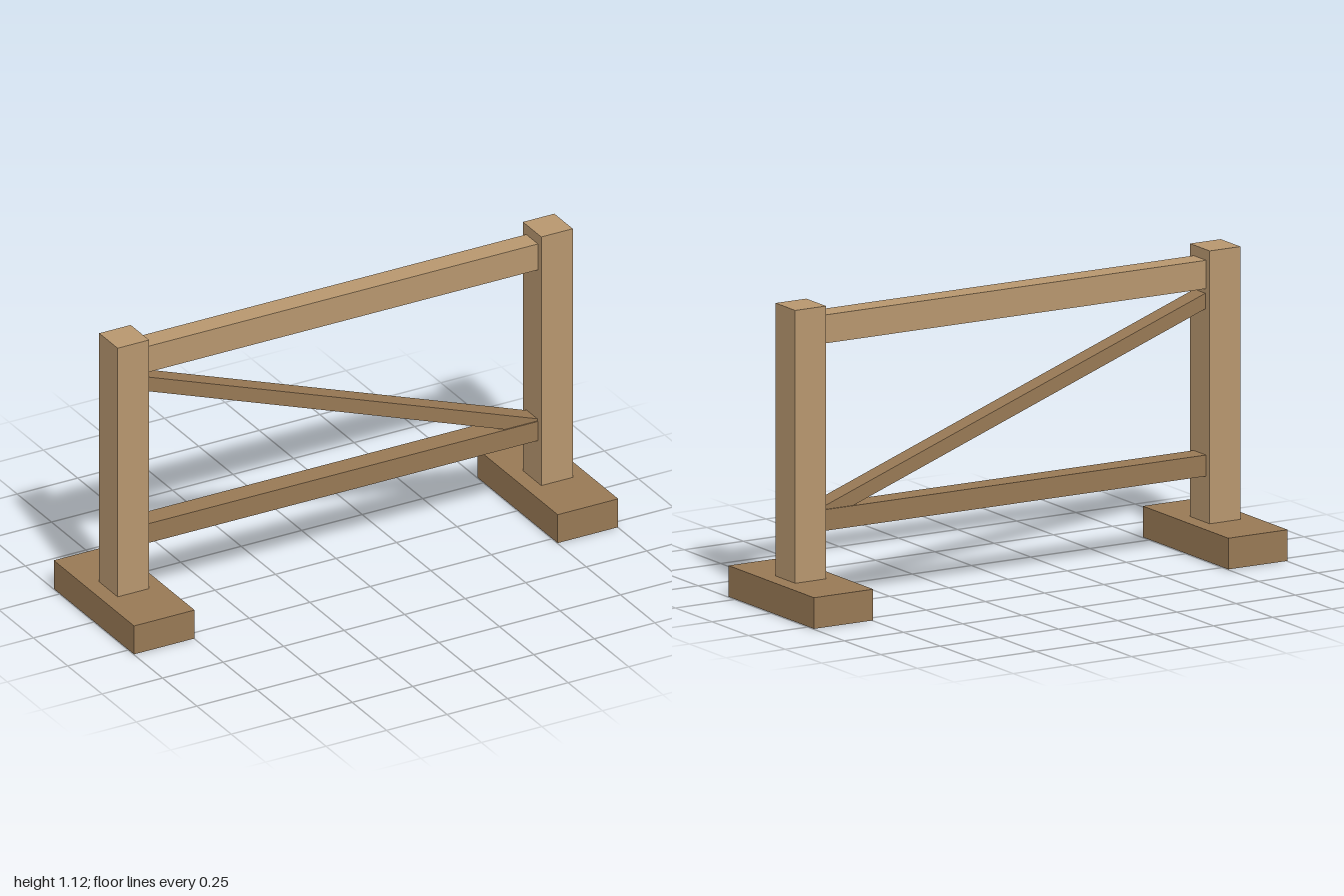
import * as THREE from 'three';

const lightWood = new THREE.MeshStandardMaterial({ color: 0xb8976f });
const darkWood = new THREE.MeshStandardMaterial({ color: 0x987955 });

function beam(name, size, position, material) {
  const mesh = new THREE.Mesh(new THREE.BoxGeometry(...size), material);
  mesh.name = name;
  mesh.position.set(...position);
  return mesh;
}

export function createModel() {
  const group = new THREE.Group();
  group.name = 'fence';

  // Posts run down through the feet; the feet stop just short of the post ends
  for (const [side, s] of [['left', 1], ['right', -1]]) {
    group.add(beam(`${side}Foot`, [0.25, 0.115, 0.585], [s * 0.875, 0.0595, 0], darkWood));
    group.add(beam(`${side}Post`, [0.13, 1.125, 0.134], [s * 0.875, 0.5625, 0], lightWood));
  }

  // Rails between the posts
  group.add(beam('topRail', [1.63, 0.105, 0.085], [0, 1.033, 0], lightWood));
  group.add(beam('lowerRail', [1.63, 0.078, 0.085], [0, 0.327, 0], darkWood));

  // Diagonal brace, its ends let into the posts
  const brace = beam('brace', [1.76, 0.054, 0.076], [0, 0.64, 0], darkWood);
  brace.rotation.z = -Math.atan2(0.588, 1.62);
  group.add(brace);

  return group;
}
